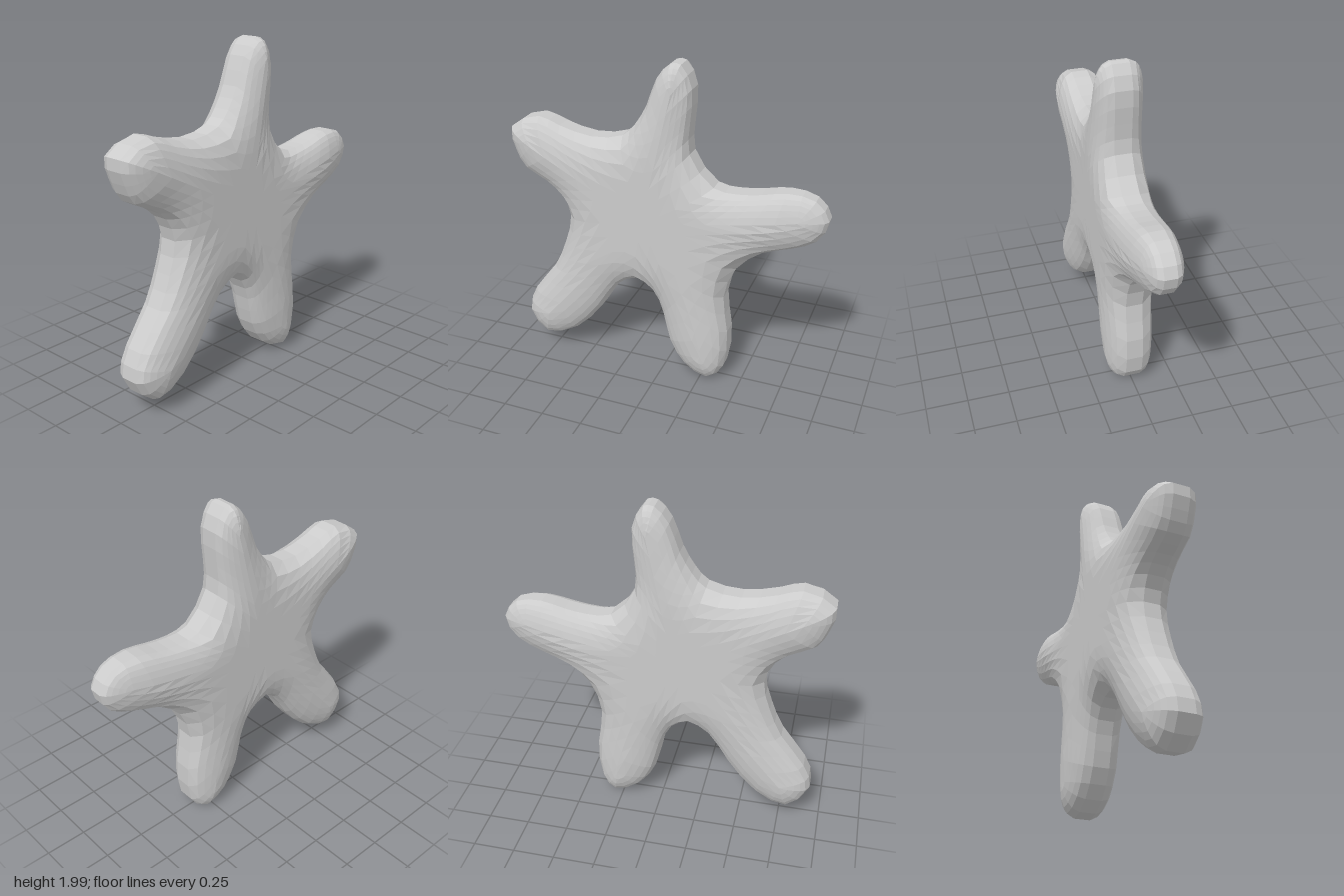
import * as THREE from 'three';

// Each arm: the end of its spine, and outline points running clockwise
// from the valley before it, around the tip, towards the next valley.
const CENTRE = new THREE.Vector2(-0.1, 1.05);
const ARMS = [
  { end: [0.07, 1.84], edge: [-0.25, 1.54, -0.17, 1.62, -0.1, 1.74, -0.04, 1.9, 0.04, 1.99, 0.1, 1.99, 0.165, 1.86, 0.155, 1.66, 0.155, 1.48] },
  { end: [0.8, 1.2], edge: [0.3, 1.3, 0.44, 1.285, 0.58, 1.305, 0.72, 1.335, 0.88, 1.31, 0.96, 1.2, 0.9, 1.07, 0.76, 1.0, 0.6, 0.945] },
  { end: [0.27, 0.2], edge: [0.45, 0.81, 0.38, 0.6, 0.41, 0.36, 0.39, 0.1, 0.3, 0.005, 0.14, 0.08, 0.04, 0.24, 0, 0.42, -0.06, 0.56] },
  { end: [-0.75, 0.28], edge: [-0.18, 0.615, -0.3, 0.55, -0.42, 0.36, -0.6, 0.16, -0.8, 0.085, -0.93, 0.24, -0.88, 0.4, -0.73, 0.6, -0.65, 0.78] },
  { end: [-0.8, 1.42], edge: [-0.605, 0.97, -0.66, 1.11, -0.76, 1.19, -0.88, 1.25, -0.94, 1.36, -0.965, 1.5, -0.78, 1.585, -0.65, 1.545, -0.45, 1.505] },
];
const STEPS = 18; // outline samples per arm
const RINGS = [0, 0.12, 0.28, 0.48, 0.72, 1]; // from the rim to the spine

// Smooth closed outline and the spine point that each sample runs to
function outlineAndSpine() {
  const points = [];
  for (const { edge } of ARMS) {
    for (let i = 0; i < edge.length; i += 2) points.push(new THREE.Vector3(edge[i], edge[i + 1], 0));
  }
  const curve = new THREE.CatmullRomCurve3(points, true);
  const count = ARMS.length * STEPS;
  const outline = [], spine = [];
  for (let i = 0; i < count; i++) {
    const p = curve.getPoint(i / count);
    outline.push(new THREE.Vector2(p.x, p.y));
    const u = (i % STEPS) / STEPS;
    const along = Math.min(1, 1.3 * (1 - Math.abs(2 * u - 1)));
    const end = new THREE.Vector2(...ARMS[Math.floor(i / STEPS)].end);
    spine.push(CENTRE.clone().lerp(end, along));
  }
  return { outline, spine };
}

// Shortest distance from p to the closed outline
function rimDistance(p, outline) {
  let best = Infinity;
  outline.forEach((a, i) => {
    const side = outline[(i + 1) % outline.length].clone().sub(a);
    const t = THREE.MathUtils.clamp(p.clone().sub(a).dot(side) / side.lengthSq(), 0, 1);
    best = Math.min(best, p.distanceTo(a.clone().addScaledVector(side, t)));
  });
  return best;
}

// Half thickness: a narrow rim swelling quickly to a flat middle
function halfDepth(p, outline) {
  const d = Math.min(1, rimDistance(p, outline) / 0.22);
  const thinning = 1 - 0.28 * THREE.MathUtils.smoothstep(p.x, 0.55, 0.97);
  return (0.05 + 0.104 * Math.sqrt(1 - (1 - d) ** 2)) * thinning;
}

function starfishGeometry() {
  const { outline, spine } = outlineAndSpine();
  const count = outline.length;
  const front = RINGS.map((k) => outline.map((o, i) => {
    const p = o.clone().lerp(spine[i], k);
    return new THREE.Vector3(p.x, p.y, halfDepth(p, outline));
  }));
  const back = front.map((ring) => ring.map((v) => new THREE.Vector3(v.x, v.y, -v.z)));

  const positions = [];
  const triangle = (a, b, c) => {
    if (new THREE.Triangle(a, b, c).getArea() < 1e-7) return;
    for (const v of [a, b, c]) positions.push(v.x, v.y, v.z);
  };
  const quad = (a, b, c, d) => { triangle(a, b, c); triangle(a, c, d); };

  for (let i = 0; i < count; i++) {
    const n = (i + 1) % count;
    // rim strip
    quad(front[0][i], front[0][n], back[0][n], back[0][i]);
    // front and back faces
    for (let j = 0; j < RINGS.length - 1; j++) {
      quad(front[j][i], front[j + 1][i], front[j + 1][n], front[j][n]);
      quad(back[j][i], back[j][n], back[j + 1][n], back[j + 1][i]);
    }
  }
  const geometry = new THREE.BufferGeometry();
  geometry.setAttribute('position', new THREE.Float32BufferAttribute(positions, 3));
  geometry.computeVertexNormals();
  return geometry;
}

export function createModel() {
  const group = new THREE.Group();
  group.name = 'starfish';
  const material = new THREE.MeshStandardMaterial({ color: 0xcccccc, flatShading: true });
  const body = new THREE.Mesh(starfishGeometry(), material);
  body.name = 'starfishBody';
  group.add(body);
  return group;
}
